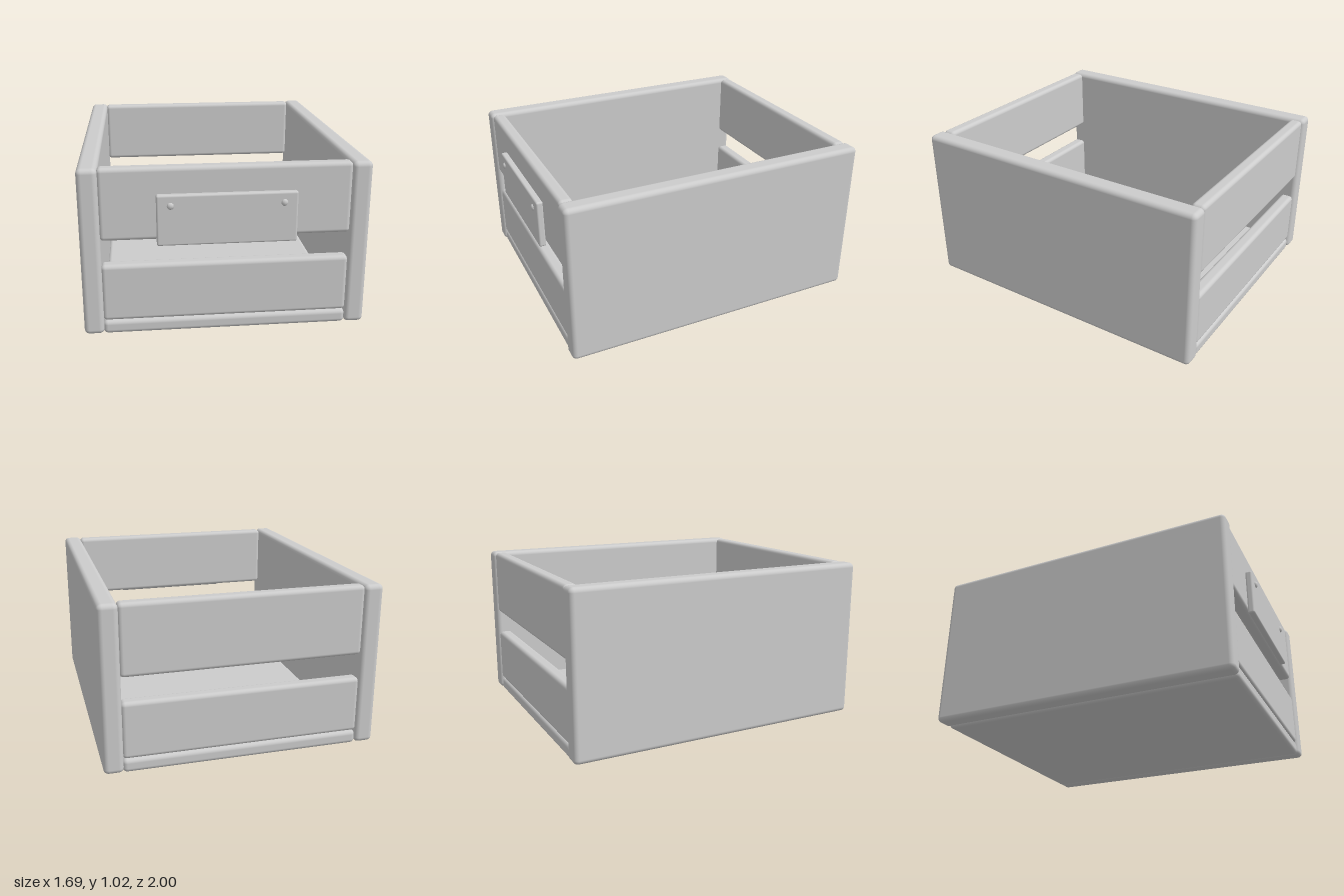
import * as THREE from 'three';
import { RoundedBoxGeometry } from 'three/addons/geometries/RoundedBoxGeometry.js';

export function createModel() {
  const group = new THREE.Group();
  const grey = new THREE.MeshStandardMaterial({ color: 0xcccccc });
  grey.name = 'light grey';

  // Rounded board given by its limits on each axis
  function board(name, [x0, x1], [y0, y1], [z0, z1], radius) {
    const geometry = new RoundedBoxGeometry(x1 - x0, y1 - y0, z1 - z0, 4, radius);
    const mesh = new THREE.Mesh(geometry, grey);
    mesh.name = name;
    mesh.position.set((x0 + x1) / 2, (y0 + y1) / 2, (z0 + z1) / 2);
    group.add(mesh);
  }

  const width = [-0.73, 0.73];
  const frontZ = [0.86, 0.945];
  const backZ = [-0.99, -0.905];

  // Solid side walls
  board('leftSide', [0.725, 0.843], [0.005, 1.02], [-1, 0.957], 0.03);
  board('rightSide', [-0.843, -0.725], [0.005, 1.02], [-1, 0.957], 0.03);

  // Floor
  board('floor', width, [0, 0.085], [-0.99, 0.945], 0.027);

  // Slats at both ends, with a gap between upper and lower
  for (const [end, z] of [['front', frontZ], ['back', backZ]]) {
    board(end + 'UpperSlat', width, [0.588, 1.018], z, 0.025);
    board(end + 'LowerSlat', width, [0.087, 0.438], z, 0.025);
  }

  // Label plate on the front, held by two small screws
  board('labelPlate', [-0.405, 0.405], [0.564, 0.866], [0.943, 0.986], 0.012);
  for (const side of [-1, 1]) {
    const screw = new THREE.Mesh(new THREE.SphereGeometry(0.021, 8, 6), grey);
    screw.name = side > 0 ? 'leftScrew' : 'rightScrew';
    screw.scale.z = 0.7;
    screw.position.set(side * 0.325, 0.803, 0.985);
    group.add(screw);
  }

  return group;
}
